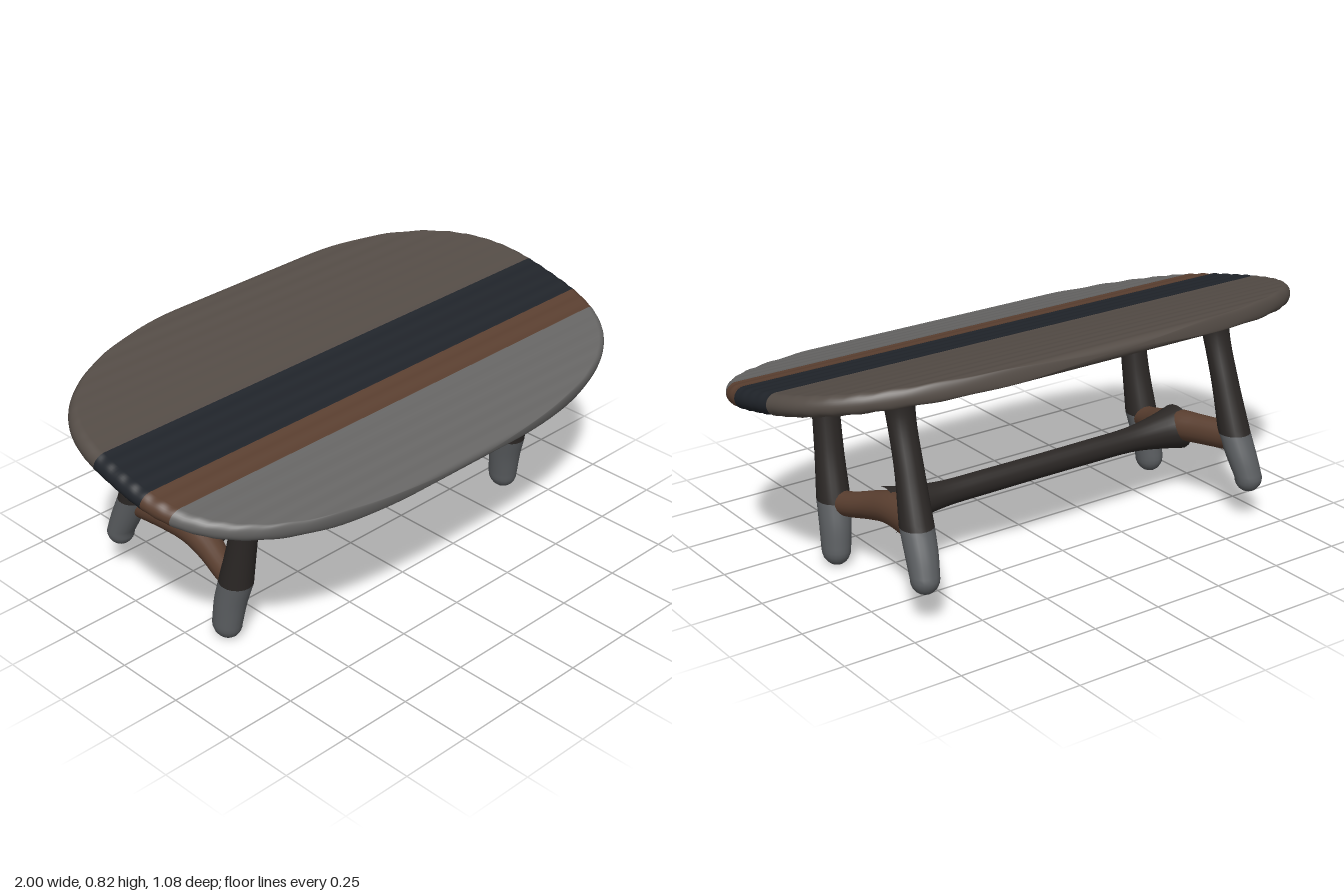
import * as THREE from 'three';

const X = new THREE.Vector3(1, 0, 0), Y = new THREE.Vector3(0, 1, 0), Z = new THREE.Vector3(0, 0, 1);
const GREY = 0x666564, BROWN = 0x5a3f30, DARK = 0x20242a, UMBER = 0x544c46, SOOT = 0x2b2725, FOOT = 0x5c5f62;

// Skin a list of closed rings (equal point counts); rings advance along the section normal.
function loft(name, rings, color) {
  const n = rings[0].length, pos = [], index = [];
  for (const ring of rings) for (const p of ring) pos.push(p.x, p.y, p.z);
  for (let i = 0; i < rings.length - 1; i++) {
    for (let j = 0; j < n; j++) {
      const k = (j + 1) % n, a = i * n + j, b = i * n + k, c = a + n, d = b + n;
      index.push(a, b, c, b, d, c);
    }
  }
  const geo = new THREE.BufferGeometry();
  geo.setAttribute('position', new THREE.Float32BufferAttribute(pos, 3));
  geo.setIndex(index);
  geo.computeVertexNormals();
  const mesh = new THREE.Mesh(geo, new THREE.MeshStandardMaterial({ color }));
  mesh.name = name;
  return mesh;
}

// Elliptical section in the plane of u and v.
function ellipse(c, u, v, ru, rv, n = 20) {
  return Array.from({ length: n }, (_, j) => {
    const a = (j / n) * Math.PI * 2;
    return c.clone().addScaledVector(u, ru * Math.cos(a)).addScaledVector(v, rv * Math.sin(a));
  });
}

// Smooth sections through keys [x, y, z, ru, rv].
function limb(keys, u, v, steps = 24) {
  const path = new THREE.CatmullRomCurve3(keys.map(k => new THREE.Vector3(k[0], k[1], k[2])));
  const size = new THREE.CatmullRomCurve3(keys.map(k => new THREE.Vector3(k[3], k[4], k[0] + k[1] + k[2])));
  const rings = [];
  for (let i = 0; i <= steps; i++) {
    const r = size.getPoint(i / steps);
    rings.push(ellipse(path.getPoint(i / steps), u, v, r.x, r.y));
  }
  return rings;
}

// Rounded tip below the last key of a leg.
function tip([x, y, z, ru, rv], drop) {
  return [1, 2, 3, 4, 5, 6].map(i => {
    const a = (i / 6) * Math.PI / 2, c = Math.cos(a);
    return ellipse(new THREE.Vector3(x, y - drop * Math.sin(a), z), X, Z, ru * c, rv * c);
  });
}

// Oval top: one band of the board between local depths z0 and z1.
function topBand(name, z0, z1, color) {
  const depth = 0.552, n = 2.8, rings = [];
  const toAngle = z => {
    const s = THREE.MathUtils.clamp(z / depth, -1, 1);
    return Math.sign(s) * Math.asin(Math.pow(Math.abs(s), n / 2));
  };
  const a0 = toAngle(z0), a1 = toAngle(z1);
  for (let i = 0; i <= 40; i++) {
    const a = a0 + (a1 - a0) * i / 40;
    const s = Math.sign(a) * Math.pow(Math.abs(Math.sin(a)), 2 / n);
    const w = Math.pow(Math.max(Math.cos(a), 0), 2 / n);
    const ripple = 0.0015 * Math.sin(s * depth * Math.PI * 2 / 0.055);
    const t = (0.035 - 0.007 * s * s + ripple) * Math.sqrt(Math.max(1 - Math.pow(Math.abs(s), 40), 0));
    const edge = Math.min(w, 0.04), ring = [];
    for (let j = 0; j < 32; j++) {
      const b = ((j + 0.5) / 32) * Math.PI * 2, c = Math.cos(b);
      ring.push(new THREE.Vector3(Math.sign(c) * (w - edge) + edge * c, t * Math.sin(b), s * depth));
    }
    rings.push(ring);
  }
  return loft(name, rings, color);
}

export function createModel() {
  const model = new THREE.Group();
  model.name = 'table';

  // Sloping top, in differently toned bands
  const top = new THREE.Group();
  top.name = 'tableTop';
  top.add(
    topBand('topBack', -0.552, -0.09, UMBER),
    topBand('topDarkBand', -0.09, 0.125, DARK),
    topBand('topBrownBand', 0.125, 0.23, BROWN),
    topBand('topFront', 0.23, 0.552, GREY)
  );
  top.position.y = 0.678;
  top.rotation.x = THREE.MathUtils.degToRad(12.6);
  model.add(top);

  for (const [side, s] of [['left', 1], ['right', -1]]) {
    // Front leg and foot
    const frontKnee = [s * 0.645, 0.22, 0.14, 0.055, 0.06];
    const frontFoot = [s * 0.66, 0.055, 0.108, 0.047, 0.053];
    model.add(loft(side + 'FrontLeg', limb([
      [s * 0.63, 0.64, 0.198, 0.052, 0.064],
      [s * 0.632, 0.58, 0.195, 0.047, 0.049],
      [s * 0.637, 0.4, 0.172, 0.048, 0.047],
      frontKnee
    ], X, Z), SOOT));
    model.add(loft(side + 'FrontFoot', [
      ...limb([frontKnee, [s * 0.653, 0.14, 0.12, 0.052, 0.057], frontFoot], X, Z, 10),
      ...tip(frontFoot, 0.055)
    ], FOOT));

    // Back leg and foot
    const backKnee = [s * 0.645, 0.31, -0.36, 0.055, 0.056];
    const backFoot = [s * 0.66, 0.16, -0.424, 0.047, 0.047];
    model.add(loft(side + 'BackLeg', limb([
      [s * 0.63, 0.72, -0.245, 0.052, 0.062],
      [s * 0.632, 0.64, -0.262, 0.047, 0.046],
      [s * 0.637, 0.48, -0.312, 0.048, 0.044],
      backKnee
    ], X, Z), SOOT));
    model.add(loft(side + 'BackFoot', [
      ...limb([backKnee, [s * 0.652, 0.23, -0.395, 0.052, 0.054], backFoot], X, Z, 10),
      ...tip(backFoot, 0.05)
    ], FOOT));

    // Side rail, bowed gently inwards and upwards
    model.add(loft(side + 'SideRail', limb([
      [s * 0.64, 0.205, 0.15, 0.042, 0.04],
      [s * 0.625, 0.222, 0.06, 0.044, 0.042],
      [s * 0.6, 0.25, -0.04, 0.05, 0.05],
      [s * 0.592, 0.273, -0.13, 0.054, 0.055],
      [s * 0.61, 0.283, -0.23, 0.052, 0.046],
      [s * 0.64, 0.293, -0.36, 0.05, 0.042]
    ], Y, X), BROWN));
  }

  // Long rail, flared where it meets the side rails
  const half = [[0.6, 0.078, 0.085], [0.52, 0.062, 0.062], [0.4, 0.045, 0.043], [0.2, 0.042, 0.038]];
  const keys = [
    ...half.map(([x, h, d]) => [-x, 0.257, -0.11, h, d]),
    ...half.slice().reverse().map(([x, h, d]) => [x, 0.257, -0.11, h, d])
  ];
  model.add(loft('longRail', limb(keys, Y, Z, 40), SOOT));

  return model;
}
